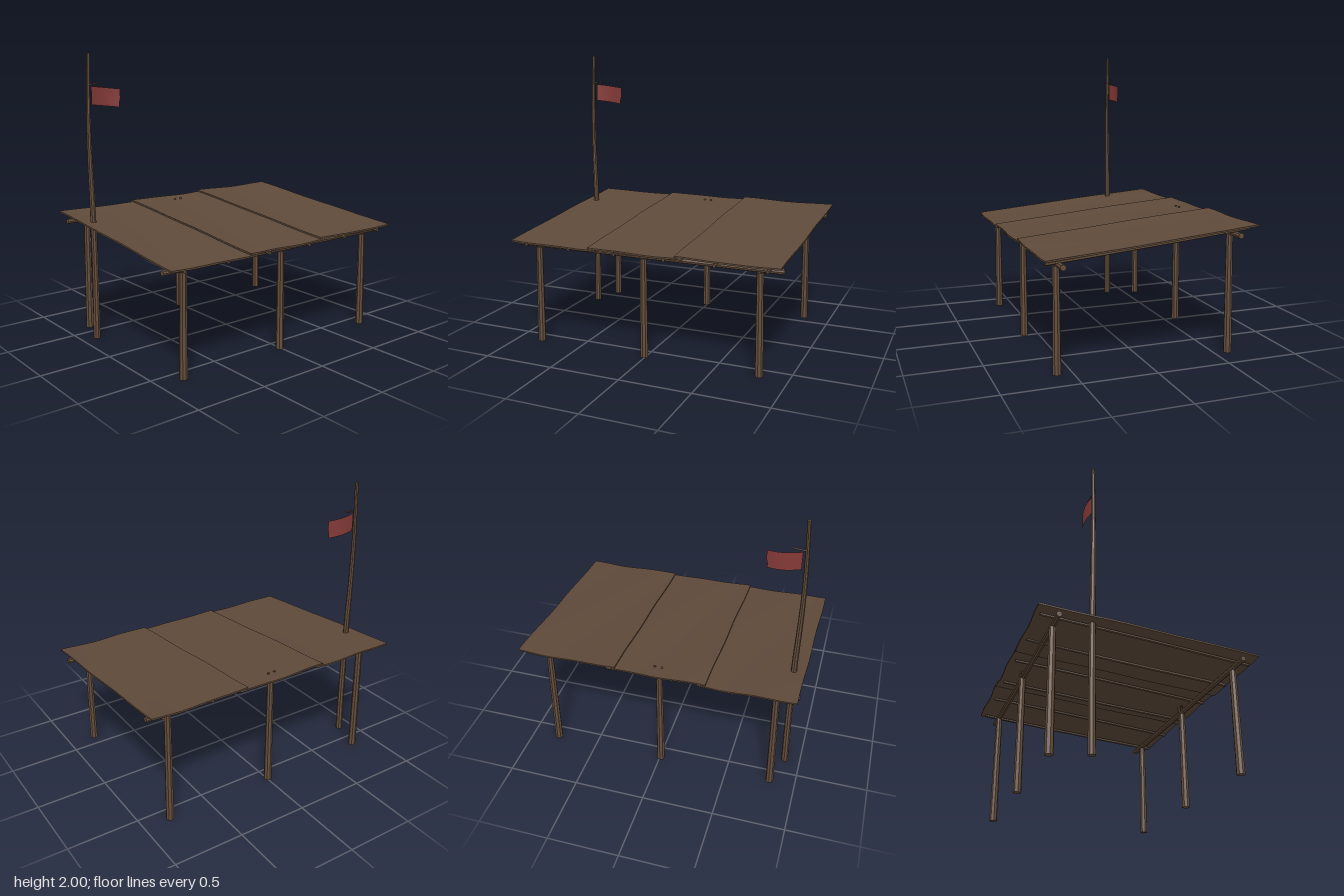
import * as THREE from 'three';

const mat = (name, color) => {
  const m = new THREE.MeshStandardMaterial({ color });
  m.name = name;
  return m;
};

export function createModel() {
  const model = new THREE.Group();
  model.name = 'openShelter';
  const wood = mat('wood', 0x644d3b);
  const bark = mat('roofBrown', 0x5f4a3a);
  const red = mat('flagRed', 0x843a37);
  wood.flatShading = true;
  red.side = THREE.DoubleSide;

  const add = (name, geometry, material) => {
    const mesh = new THREE.Mesh(geometry, material);
    mesh.name = name;
    model.add(mesh);
    return mesh;
  };

  // Tapered log from a to b, bowed sideways in x and z along its length
  const log = (name, a, b, r0, r1, bowX = 0, bowZ = 0, sides = 8) => {
    const from = new THREE.Vector3(...a), to = new THREE.Vector3(...b);
    const axis = to.clone().sub(from), length = axis.length();
    const geo = new THREE.CylinderGeometry(r1, r0, length, sides, 8);
    geo.translate(0, length / 2, 0);
    geo.applyQuaternion(new THREE.Quaternion().setFromUnitVectors(
      new THREE.Vector3(0, 1, 0), axis.clone().normalize()));
    geo.translate(...a);
    const p = geo.attributes.position, v = new THREE.Vector3();
    for (let i = 0; i < p.count; i++) {
      v.fromBufferAttribute(p, i);
      const t = v.clone().sub(from).dot(axis) / (length * length);
      const bow = Math.sin(Math.PI * t);
      p.setXYZ(i, v.x + bowX * bow, v.y, v.z + bowZ * bow);
    }
    geo.computeVertexNormals();
    return add(name, geo, wood);
  };

  // Two rows of posts, each with a cross beam and a forked middle post
  const rows = [
    { side: 'front', z: 0.6, top: 0.69, beam: 0.71 },
    { side: 'back', z: -0.595, top: 0.812, beam: 0.82 },
  ];
  for (const { side, z, top, beam } of rows) {
    for (const x of [-0.82, -0.008, 0.804]) {
      log(side + 'Post', [x, 0, z], [x * 0.994, top, z], 0.028, 0.023);
    }
    log(side + 'Beam', [-0.97, beam, z], [0.955, beam, z], 0.018, 0.02, 0, 0.004);
    for (const s of [-1, 1]) {
      log(side + 'Fork', [-0.006, top - 0.02, z], [-0.006 + s * 0.028, top + 0.062, z - 0.01], 0.012, 0.008, 0, 0, 6);
    }
  }

  // Rafters under the sloping roof
  [-0.865, -0.53, -0.185, 0.175, 0.525, 0.872].forEach((x, i) => {
    const shift = i % 2 ? 0.008 : -0.008;
    log('rafter', [x, 0.722, 0.69], [x + shift, 0.852, -0.69], 0.012, 0.01, shift, 0, 6);
  });

  // Three overlapping roof sheets with gently wavy edges
  const sheets = [[-0.972, -0.31, 0.803], [-0.365, 0.32, 0.811], [0.263, 0.968, 0.818]];
  for (const [x0, x1, y] of sheets) {
    const width = x1 - x0;
    const geo = new THREE.BoxGeometry(width, 0.011, 1.43, 14, 1, 14);
    geo.translate((x0 + x1) / 2, 0, 0);
    const p = geo.attributes.position;
    for (let i = 0; i < p.count; i++) {
      const x = p.getX(i), z = p.getZ(i), t = (x - x0) / width;
      const lift = 0.006 * (1 - t) ** 3 - 0.004 * Math.sin(Math.PI * t);
      p.setXYZ(i,
        x - 0.004 * z / 0.7 + 0.003 * Math.sin(z * 9),
        y + p.getY(i) - 0.09 * z + lift + 0.002 * Math.sin(x * 11 + z * 4),
        z - 0.003 + 0.004 * Math.sin(x * 15 + z));
    }
    geo.computeVertexNormals();
    add('roofSheet', geo, bark);
  }

  // Flagpole with its peg
  log('flagpoleLower', [-0.89, 0, -0.365], [-0.892, 1.0, -0.366], 0.025, 0.02, 0.005);
  log('flagpoleUpper', [-0.892, 1.0, -0.366], [-0.887, 2, -0.368], 0.02, 0.012, -0.012);
  log('flagPeg', [-0.895, 1.79, -0.37], [-0.8, 1.801, -0.373], 0.006, 0.005, 0, 0, 6);

  // Waving flag
  const flag = new THREE.PlaneGeometry(0.22, 0.126, 12, 4);
  const p = flag.attributes.position;
  for (let i = 0; i < p.count; i++) {
    const t = p.getX(i) / 0.22 + 0.5;
    p.setXYZ(i, -0.87 + 0.222 * t - (p.getY(i) < 0 ? 0.008 * t : 0),
      1.718 + p.getY(i) - 0.024 * t,
      -0.373 - 0.02 * Math.sin(t * Math.PI) + 0.006 * t);
  }
  flag.computeVertexNormals();
  add('flag', flag, red);

  return model;
}
